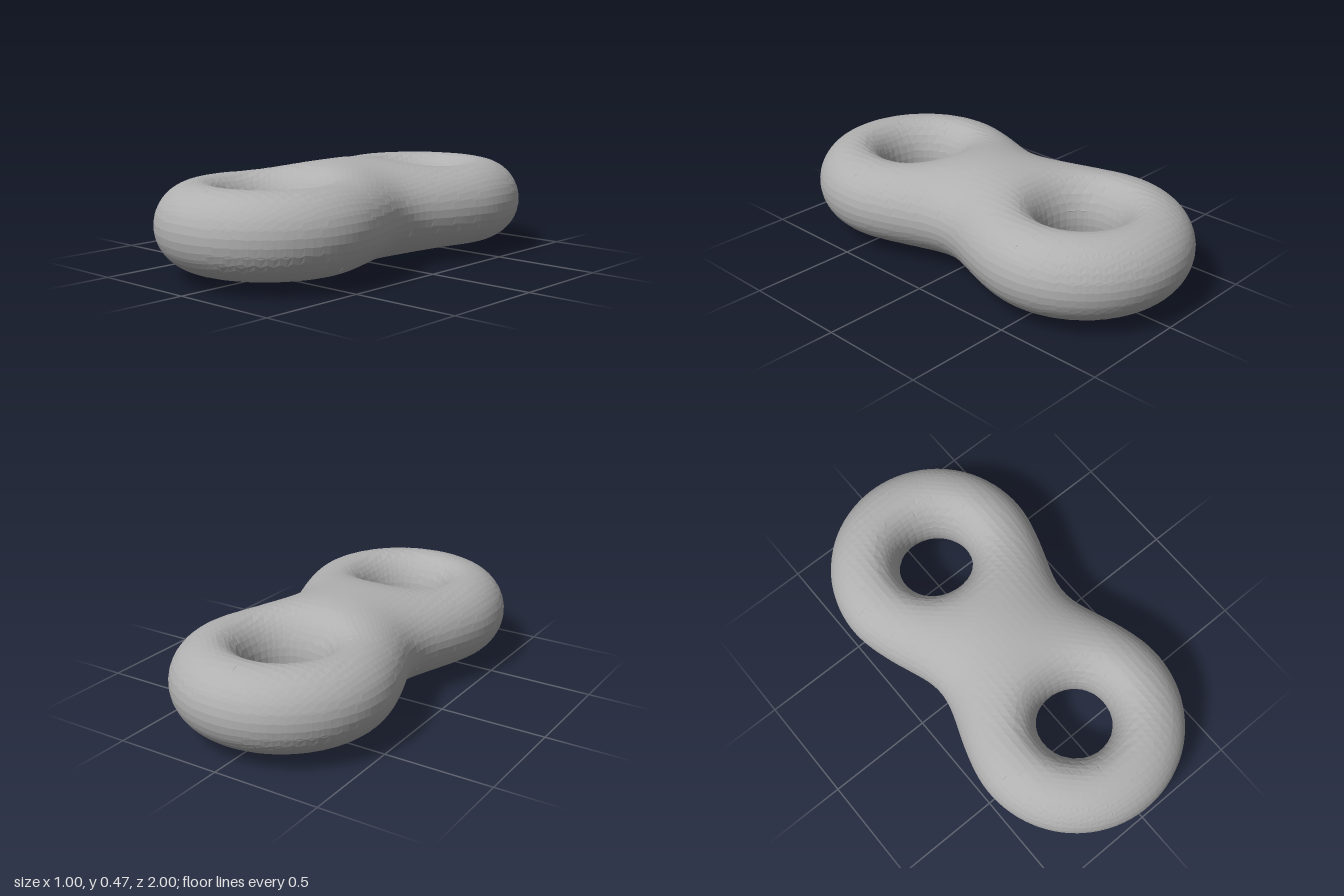
import * as THREE from 'three';

const RING_Z = 0.5, RING_R = 0.3125, TUBE_R = 0.1875, INNER_R = 0.1375;
const CELL = 0.036, MID_Y = 0.24;

// Signed distance to one ring; the tube is slightly thinner towards its hole.
function ring(x, y, z) {
  const u = Math.hypot(x, z) - RING_R;
  return Math.hypot(u < 0 ? u * TUBE_R / INNER_R : u, y) - TUBE_R;
}

// Two rings melted together where they touch.
function field(x, y, z) {
  const a = ring(x, y, z - RING_Z), b = ring(x, y, z + RING_Z);
  const k = 0.455 + 0.31 * Math.min(x * x, 0.2);
  const h = Math.max(k - Math.abs(a - b), 0) / k;
  return Math.min(a, b) - h * h * k / 4;
}

// Slide a point along the gradient until it lies on the surface.
function project(p) {
  const e = 0.001;
  for (let i = 0; i < 6; i++) {
    const [x, y, z] = p;
    const g = [
      (field(x + e, y, z) - field(x - e, y, z)) / (2 * e),
      (field(x, y + e, z) - field(x, y - e, z)) / (2 * e),
      (field(x, y, z + e) - field(x, y, z - e)) / (2 * e),
    ];
    const s = field(x, y, z) / Math.max(g[0] ** 2 + g[1] ** 2 + g[2] ** 2, 0.1);
    p = p.map((v, n) => v - g[n] * s);
  }
  return p;
}

// Mesh the field with one vertex per crossed cell and one quad per crossed edge.
function blendedSurface() {
  const half = [16, 9, 30];
  const size = half.map((n) => 2 * n + 1);
  const at = (c) => c.map((v, n) => (v - half[n]) * CELL);
  const positions = [], indices = [], cells = new Map();

  function vertex(c) {
    const key = c.join();
    if (!cells.has(key)) {
      cells.set(key, positions.length / 3);
      positions.push(...project(at(c.map((v) => v + 0.5))));
    }
    return cells.get(key);
  }

  for (let i = 1; i < size[0]; i++)
    for (let j = 1; j < size[1]; j++)
      for (let k = 1; k < size[2]; k++) {
        const c = [i, j, k];
        const inside = field(...at(c)) < 0;
        for (let axis = 0; axis < 3; axis++) {
          const next = c.slice();
          next[axis]++;
          if (field(...at(next)) < 0 === inside) continue;
          const quad = [[0, 0], [1, 0], [1, 1], [0, 1]].map(([s, t]) => {
            const q = c.slice();
            q[(axis + 1) % 3] -= s;
            q[(axis + 2) % 3] -= t;
            return vertex(q);
          });
          if (!inside) quad.reverse();
          const [p, q, r, s] = quad;
          indices.push(p, q, r, p, r, s);
        }
      }

  const geometry = new THREE.BufferGeometry();
  geometry.setAttribute('position', new THREE.Float32BufferAttribute(positions, 3));
  geometry.setIndex(indices);
  geometry.computeVertexNormals();
  return geometry;
}

export function createModel() {
  const group = new THREE.Group();
  group.name = 'doubleRing';

  const grey = new THREE.MeshStandardMaterial({ color: 0xb0b0b0 });
  grey.name = 'grey';
  grey.flatShading = true;

  // Single seamless body with two holes
  const body = new THREE.Mesh(blendedSurface(), grey);
  body.name = 'blendedRings';
  body.position.y = MID_Y;
  group.add(body);
  return group;
}
